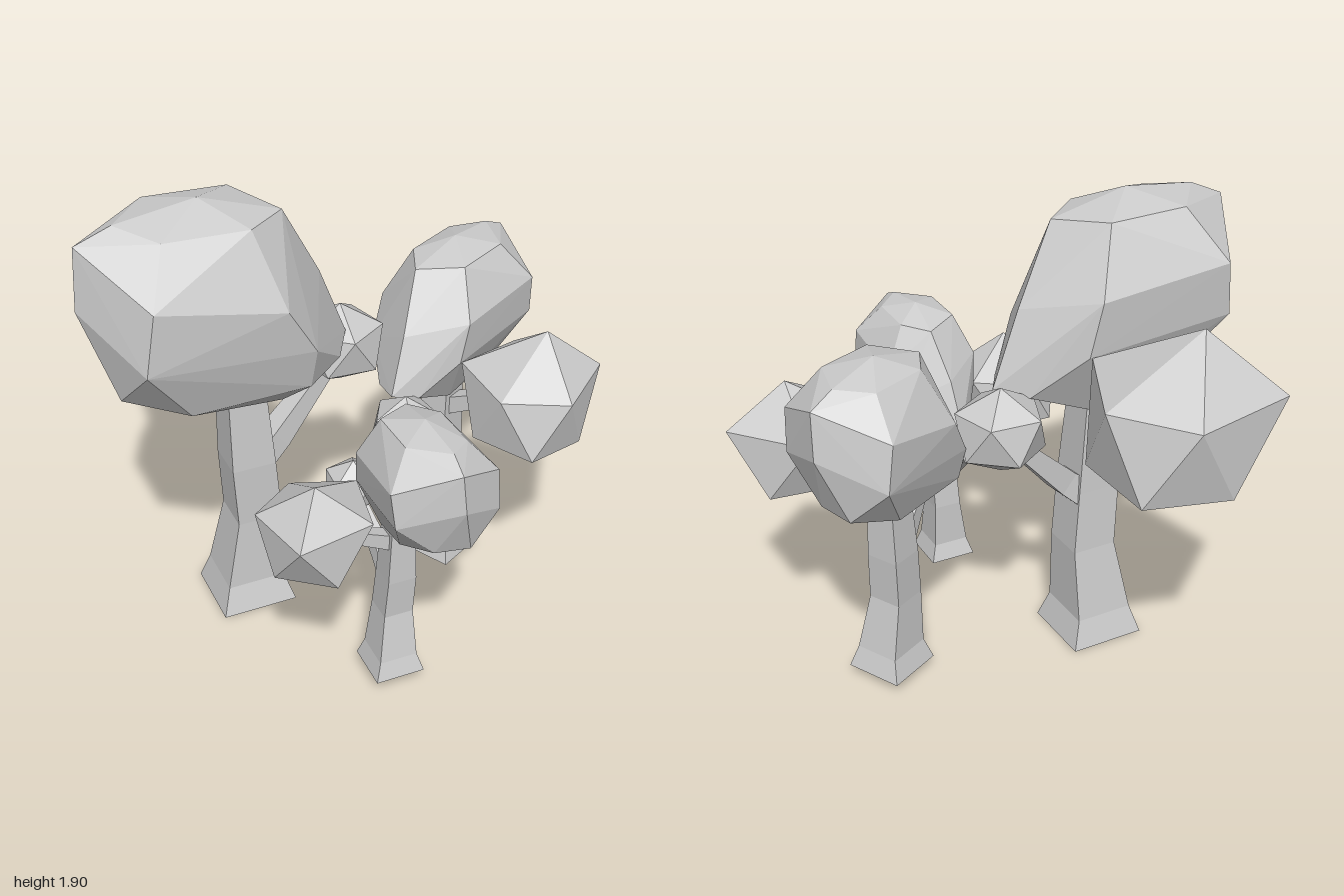
import * as THREE from 'three';
import { ConvexGeometry } from 'three/addons/geometries/ConvexGeometry.js';

const material = new THREE.MeshStandardMaterial({ color: 0xcccccc, flatShading: true });

function part(name, geometry) {
  const mesh = new THREE.Mesh(geometry, material);
  mesh.name = name;
  return mesh;
}

// Faceted foliage: the convex hull of a few points
function hull(points) {
  return new ConvexGeometry(points.map((p) => new THREE.Vector3(...p)));
}

// Square-section limb through stations [x, y, z, half width]
function limb(stations) {
  const first = new THREE.Vector3(...stations[0].slice(0, 3));
  const last = new THREE.Vector3(...stations[stations.length - 1].slice(0, 3));
  const d = last.sub(first).normalize();
  if (d.y > 0.95) d.set(0, 1, 0); // trunks keep level sections
  const u = new THREE.Vector3(0, 1, 0).cross(d);
  if (u.length() < 0.01) u.set(0, 0, 1);
  u.normalize();
  const v = d.clone().cross(u);
  const position = [];
  for (const [x, y, z, h] of stations) {
    for (const [a, b] of [[-h, -h], [h, -h], [h, h], [-h, h]]) {
      const c = new THREE.Vector3(x, y, z).addScaledVector(u, a).addScaledVector(v, b);
      position.push(c.x, c.y, c.z);
    }
  }
  const index = [0, 2, 1, 0, 3, 2];
  for (let i = 0; i < stations.length - 1; i++) {
    for (let k = 0; k < 4; k++) {
      const a = i * 4 + k, b = i * 4 + (k + 1) % 4;
      index.push(a, b, b + 4, a, b + 4, a + 4);
    }
  }
  const e = (stations.length - 1) * 4;
  index.push(e, e + 1, e + 2, e, e + 2, e + 3);
  const g = new THREE.BufferGeometry();
  g.setAttribute('position', new THREE.Float32BufferAttribute(position, 3));
  g.setIndex(index);
  const flat = g.toNonIndexed();
  flat.computeVertexNormals();
  return flat;
}

// Flared trunk and two branches
const trunk = limb([
  [0, 0, 0, 0.16], [0, 0.12, 0, 0.123], [0.03, 0.43, 0.02, 0.095],
  [0.01, 0.7, 0.03, 0.092], [-0.01, 1.2, 0.03, 0.072],
]);
const sideBranch = limb([
  [0.04, 0.66, 0.01, 0.06], [0.15, 0.75, 0, 0.05], [0.42, 1.02, -0.05, 0.03],
]);
const backBranch = limb([[0, 0.96, 0.02, 0.05], [-0.03, 1.14, -0.36, 0.035]]);

// Large lopsided crown
const crown = hull([
  // top cap
  [-0.16, 1.9, 0.1], [-0.48, 1.86, 0.12], [-0.31, 1.85, -0.09], [0.02, 1.84, -0.09],
  [0.15, 1.81, 0.13], [-0.02, 1.82, 0.27], [-0.35, 1.83, 0.27], [-0.62, 1.8, 0.11],
  // upper belt
  [-0.44, 1.65, 0.43], [0.06, 1.54, 0.41], [0.32, 1.5, 0.07], [0.11, 1.58, -0.2],
  [-0.43, 1.65, -0.23], [-0.64, 1.56, 0.13],
  // lower belt
  [-0.48, 1.41, 0.43], [0.18, 1.34, 0.38], [0.44, 1.2, 0.05], [0.15, 1.36, -0.18],
  [-0.46, 1.43, -0.21],
  // underside
  [-0.53, 1.22, 0.23], [-0.49, 1.22, 0.02], [-0.3, 1.16, 0.34], [0.17, 1.17, 0.34],
  [0.35, 1.18, 0.2], [0.33, 1.18, -0.05], [0.1, 1.06, 0.22], [0.06, 1.07, -0.06],
  [-0.25, 1.14, -0.08],
]);

// Side foliage on the back branch
const sideFoliage = hull([
  [-0.1, 1.57, -0.54],
  [0.31, 1.33, -0.54], [0.1, 1.33, -0.83], [-0.35, 1.33, -0.73], [-0.26, 1.34, -0.25], [0.14, 1.36, -0.18],
  [0.26, 1.02, -0.72], [0.27, 1.03, -0.36], [-0.32, 1.0, -0.49], [-0.09, 1.0, -0.79], [-0.02, 1.05, -0.19],
  [0.03, 0.92, -0.57],
]);

// Small tuft: an icosahedron standing on one corner
const tuft = new THREE.IcosahedronGeometry(0.195, 0);
tuft.rotateZ(Math.atan(2 / (1 + Math.sqrt(5))));
tuft.rotateY(0.25);
tuft.scale(1, 0.9, 1);
tuft.translate(0.465, 1.085, -0.06);

function tree(name, [x, y, z], angle, scale) {
  const group = new THREE.Group();
  group.name = name;
  group.add(
    part('trunk', trunk), part('sideBranch', sideBranch), part('backBranch', backBranch),
    part('crown', crown), part('sideFoliage', sideFoliage), part('smallTuft', tuft),
  );
  group.position.set(x, y, z);
  group.rotation.y = THREE.MathUtils.degToRad(angle);
  group.scale.setScalar(scale);
  return group;
}

export function createModel() {
  const model = new THREE.Group();
  model.name = 'treeCluster';
  model.add(
    tree('largeTree', [-0.36, 0, -0.155], 0, 1),
    tree('smallTree', [-0.03, 0.065, 0.58], 89, 0.63),
    tree('mediumTree', [0.52, 0.04, -0.05], 207, 0.76),
  );
  return model;
}
